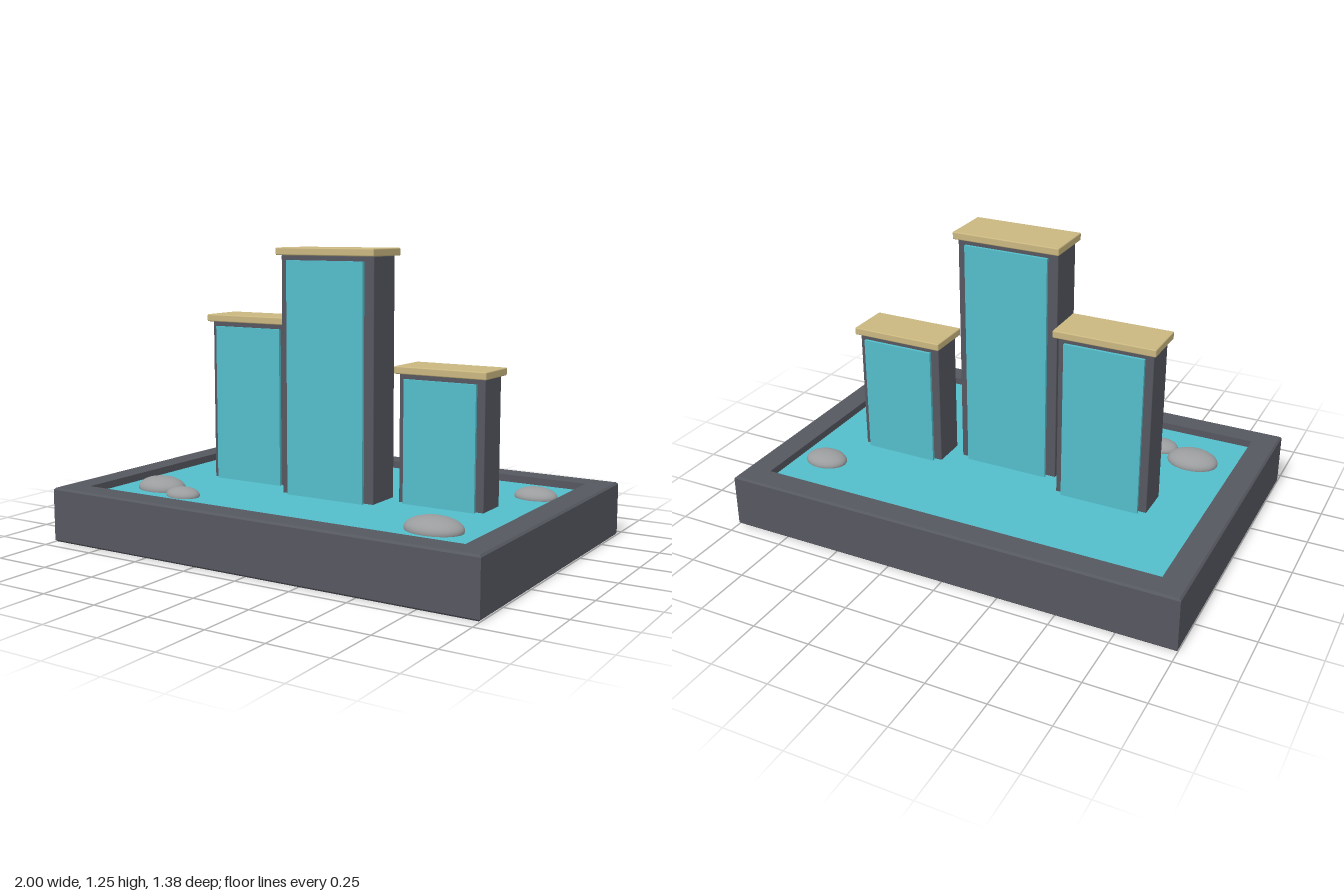
import * as THREE from 'three';
import { RoundedBoxGeometry } from 'three/addons/geometries/RoundedBoxGeometry.js';

const material = (name, color) => {
  const m = new THREE.MeshStandardMaterial({ color });
  m.name = name;
  return m;
};

// Closed surface through rectangular rings given as [half width, half depth, y]
function rectangularLoft(rings) {
  const corners = [[1, 1], [1, -1], [-1, -1], [-1, 1]];
  const positions = [];
  const index = [];
  rings.forEach(([w, d, y], i) => {
    corners.forEach(([sx, sz], j) => {
      positions.push(sx * w, y, sz * d);
      if (i === 0) return;
      const a = (i - 1) * 4 + j, b = (i - 1) * 4 + (j + 1) % 4;
      index.push(a, b, b + 4, a, b + 4, a + 4);
    });
  });
  const indexed = new THREE.BufferGeometry();
  indexed.setAttribute('position', new THREE.Float32BufferAttribute(positions, 3));
  indexed.setIndex(index);
  const geometry = indexed.toNonIndexed();
  geometry.computeVertexNormals();
  return geometry;
}

export function createModel() {
  const slate = material('dark slate', 0x565860);
  const water = material('water blue', 0x54bdcb);
  const gold = material('sandy gold', 0xcab780);
  const stone = material('grey stone', 0x9a9c9e);
  const model = new THREE.Group();
  model.name = 'towerFountain';

  const add = (parent, name, geometry, mat, x = 0, y = 0, z = 0) => {
    const mesh = new THREE.Mesh(geometry, mat);
    mesh.name = name;
    mesh.position.set(x, y, z);
    parent.add(mesh);
    return mesh;
  };

  // Basin with softened edges and a recessed floor
  add(model, 'basin', rectangularLoft([
    [0, 0, 0], [0.992, 0.684, 0], [1, 0.692, 0.008], [1, 0.692, 0.227],
    [0.992, 0.684, 0.235], [0.89, 0.585, 0.235], [0.89, 0.585, 0.17], [0, 0, 0.17],
  ]), slate);

  // Pool surface
  const waterLevel = 0.203;
  add(model, 'poolWater', new THREE.BoxGeometry(1.78, 0.03, 1.17), water, 0, waterLevel - 0.015, 0);

  // Towers: slab, overhanging cap, and a falling sheet of water on front and back
  const towers = [
    { name: 'rightTower', x: -0.459, z: -0.068, w: 0.405, d: 0.152, top: 0.915, capW: 0.436, capD: 0.205, sheetW: 0.342 },
    { name: 'middleTower', x: 0.02, z: 0.043, w: 0.45, d: 0.17, top: 1.219, capW: 0.476, capD: 0.222, sheetW: 0.372 },
    { name: 'leftTower', x: 0.5, z: -0.052, w: 0.386, d: 0.148, top: 0.742, capW: 0.414, capD: 0.198, sheetW: 0.325 },
  ];
  const foot = 0.19;
  for (const t of towers) {
    const tower = new THREE.Group();
    tower.name = t.name;
    tower.position.set(t.x, 0, t.z);
    model.add(tower);
    const bodyHeight = t.top - foot;
    add(tower, 'towerBody', new RoundedBoxGeometry(t.w, bodyHeight, t.d, 2, 0.004), slate, 0, foot + bodyHeight / 2, 0);
    add(tower, 'towerCap', new RoundedBoxGeometry(t.capW, 0.032, t.capD, 2, 0.005), gold, 0, t.top + 0.015, 0);
    const sheetHeight = t.top - 0.021 - foot;
    for (const side of [1, -1]) {
      add(tower, side > 0 ? 'frontWaterSheet' : 'backWaterSheet',
        new THREE.BoxGeometry(t.sheetW, sheetHeight, 0.013), water,
        0, foot + sheetHeight / 2, side * (t.d / 2 + 0.016));
    }
  }

  // Smooth boulders half sunk in the pool: x, z, radii, centre height
  const rocks = [
    [-0.695, 0.345, 0.112, 0.048, 0.084, 0.21],
    [-0.525, 0.41, 0.078, 0.034, 0.058, 0.208],
    [0.652, 0.367, 0.122, 0.05, 0.091, 0.211],
    [0.76, -0.352, 0.094, 0.04, 0.071, 0.209],
  ];
  const sphere = new THREE.SphereGeometry(1, 32, 20);
  for (const [x, z, rx, ry, rz, y] of rocks) {
    add(model, 'rock', sphere, stone, x, y, z).scale.set(rx, ry, rz);
  }

  return model;
}
